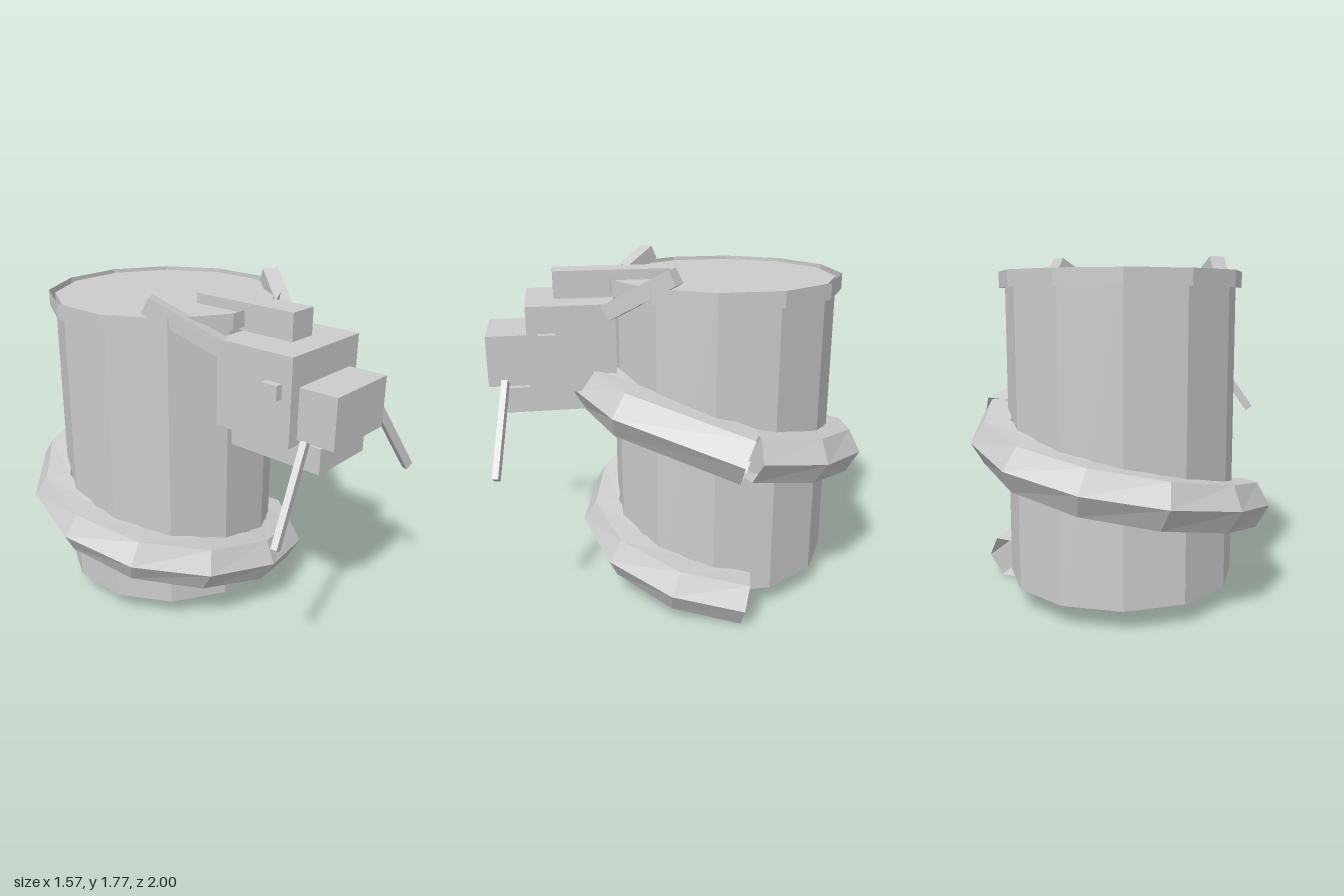
import * as THREE from 'three';

const CX = -0.012, CZ = -0.22; // vertical axis of the column
const V = (x, y, z) => new THREE.Vector3(x, y, z);

export function createModel() {
  const group = new THREE.Group();
  const material = new THREE.MeshStandardMaterial({ color: 0xcccccc, flatShading: true, side: THREE.DoubleSide });

  function add(name, geometry, x = 0, y = 0, z = 0) {
    const mesh = new THREE.Mesh(geometry, material);
    mesh.name = name;
    mesh.position.set(x, y, z);
    group.add(mesh);
    return mesh;
  }

  // Box given by its limits on each axis
  function box(name, x0, x1, y0, y1, z0, z1) {
    return add(name, new THREE.BoxGeometry(x1 - x0, y1 - y0, z1 - z0),
      (x0 + x1) / 2, (y0 + y1) / 2, (z0 + z1) / 2);
  }

  // Slim bar running from a to b
  function bar(name, a, b, width, depth) {
    const mesh = add(name, new THREE.BoxGeometry(width, depth, a.distanceTo(b)));
    mesh.position.copy(a).add(b).multiplyScalar(0.5);
    mesh.lookAt(b);
    return mesh;
  }

  // Open six-sided tube with a corner pointing sideways, swept along points
  function hexTube(name, points, radius) {
    const positions = [], index = [], last = points.length - 1;
    points.forEach((p, i) => {
      const tangent = points[Math.min(i + 1, last)].clone().sub(points[Math.max(i - 1, 0)]).normalize();
      const side = V(tangent.z, 0, -tangent.x).normalize();
      const up = tangent.clone().cross(side);
      for (let k = 0; k < 6; k++) {
        const a = k * Math.PI / 3;
        const v = p.clone().addScaledVector(side, radius * Math.cos(a)).addScaledVector(up, radius * Math.sin(a));
        positions.push(v.x, v.y, v.z);
        if (i < last) {
          const n = (k + 1) % 6, r = i * 6, s = r + 6;
          index.push(r + k, r + n, s + k, r + n, s + n, s + k);
        }
      }
    });
    const geometry = new THREE.BufferGeometry();
    geometry.setAttribute('position', new THREE.Float32BufferAttribute(positions, 3));
    geometry.setIndex(index);
    geometry.computeVertexNormals();
    return add(name, geometry);
  }

  // Twelve-sided column, open below, with a raised rim and a top disc
  const turn = Math.PI / 12;
  add('column', new THREE.CylinderGeometry(0.587, 0.587, 1.555, 12, 1, true, turn), CX, 0.8875, CZ);
  add('rim', new THREE.CylinderGeometry(0.618, 0.618, 0.08, 12, 1, true, turn), CX, 1.64, CZ);
  const disc = new THREE.CircleGeometry(0.587, 12, turn);
  disc.rotateX(-Math.PI / 2);
  add('topDisc', disc, CX, 1.665, CZ);

  // Body coiling once around the column, from the tail upwards
  const coil = [];
  for (let i = 0; i <= 12; i++) {
    const a = i * Math.PI / 6;
    coil.push(V(CX + 0.645 * Math.cos(a), 0.112 + 0.79 * i / 12, CZ + 0.645 * Math.sin(a)));
  }
  hexTube('coiledBody', coil, 0.131);

  // Neck rising from the coil to the head
  hexTube('neck', [V(0.655, 0.9, -0.22), V(0.385, 1.08, 0.34), V(0.13, 1.15, 0.47)], 0.138);

  // Head
  box('head', -0.275, 0.25, 1.15, 1.58, 0.37, 0.8);
  box('snout', -0.215, 0.19, 1.177, 1.43, 0.8, 1.0);
  box('jaw', -0.197, 0.173, 1.032, 1.16, 0.4, 0.92);
  box('crest', -0.09, 0.065, 1.58, 1.717, 0.07, 0.66);

  // Paired eyes, horns and whiskers
  for (const s of [1, -1]) {
    const prefix = s > 0 ? 'left' : 'right';
    const at = (x, y, z) => V(CX + s * x, y, z);
    const eye = add(prefix + 'Eye', new THREE.BoxGeometry(0.06, 0.072, 0.085));
    eye.position.copy(at(0.271, 1.412, 0.705));
    bar(prefix + 'Horn', at(0.255, 1.54, 0.405), at(0.457, 1.735, 0.105), 0.085, 0.08);
    bar(prefix + 'Whisker', at(0.3, 1.23, 0.912), at(0.57, 0.835, 0.975), 0.03, 0.046);
  }

  return group;
}
